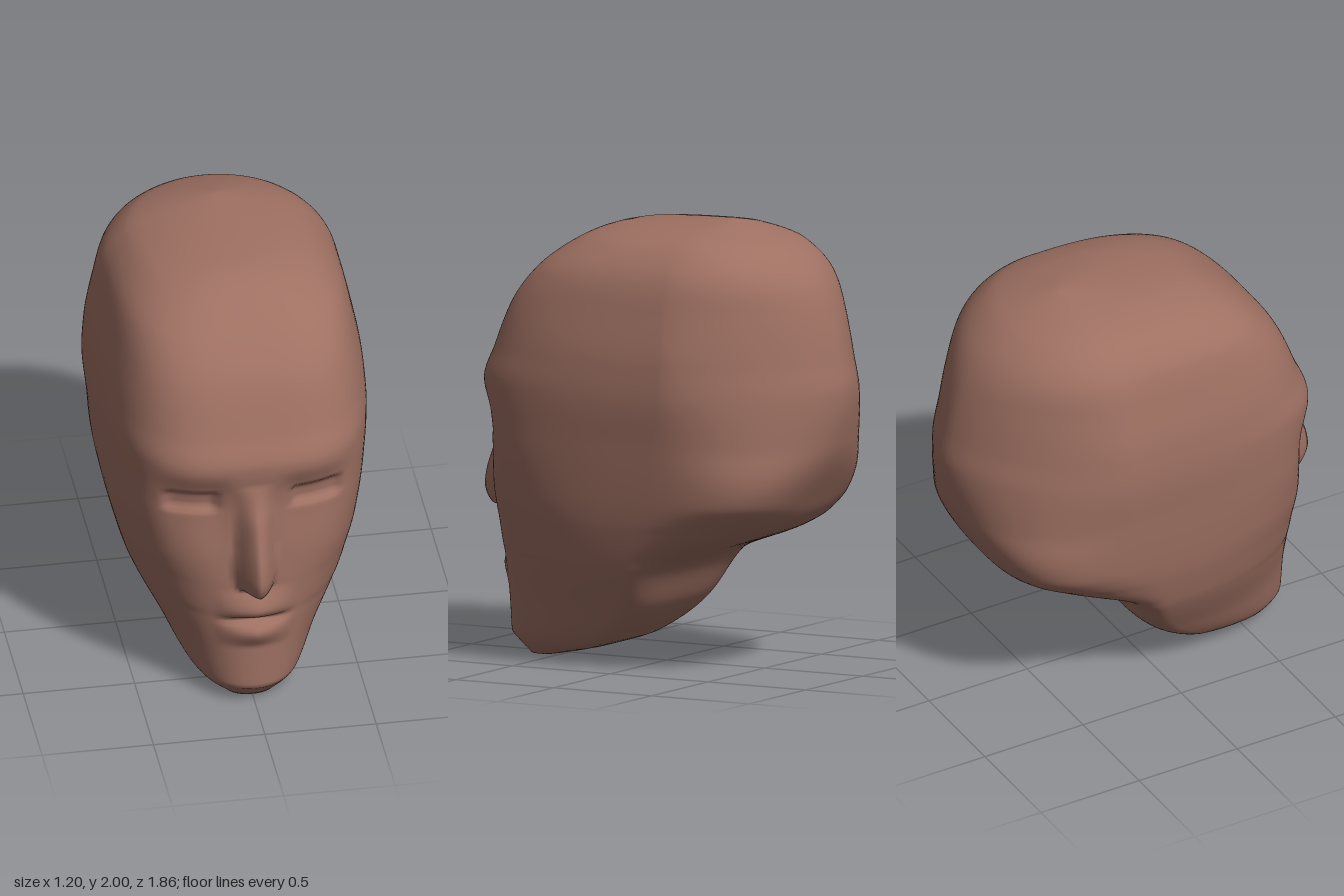
import * as THREE from 'three';

// Smooth, non-overshooting interpolation of rows [key, a, b, ...]
function sample(rows, y, c) {
  const n = rows.length;
  if (y <= rows[0][0]) return rows[0][c];
  if (y >= rows[n - 1][0]) return rows[n - 1][c];
  let k = 0;
  while (rows[k + 1][0] < y) k++;
  const slope = (i) => (rows[i + 1][c] - rows[i][c]) / (rows[i + 1][0] - rows[i][0]);
  const tangent = (i) => {
    if (i === 0) return slope(0);
    if (i === n - 1) return slope(n - 2);
    const p = slope(i - 1), q = slope(i);
    return p * q <= 0 ? 0 : (2 * p * q) / (p + q);
  };
  const h = rows[k + 1][0] - rows[k][0], t = (y - rows[k][0]) / h;
  const t2 = t * t, t3 = t2 * t;
  return (2 * t3 - 3 * t2 + 1) * rows[k][c] + (t3 - 2 * t2 + t) * h * tangent(k)
    + (3 * t2 - 2 * t3) * rows[k + 1][c] + (t3 - t2) * h * tangent(k + 1);
}

// Skull sections: height, front z, back z, half width, z of widest point,
// front squareness, back squareness
const SKULL = [
  [0.00, 0.67, 0.52, 0.11, 0.58, 2.2, 2.5],
  [0.05, 0.715, 0.29, 0.215, 0.42, 2.2, 3.2],
  [0.10, 0.76, 0.14, 0.27, 0.29, 2.2, 3.6],
  [0.26, 0.76, -0.07, 0.365, 0.11, 2.2, 3.6],
  [0.46, 0.76, -0.195, 0.472, 0.00, 2.3, 3.4],
  [0.50, 0.76, -0.27, 0.487, -0.02, 2.4, 2.8],
  [0.64, 0.76, -0.64, 0.526, -0.09, 2.7, 2.4],
  [0.69, 0.758, -0.715, 0.537, -0.13, 2.9, 2.6],
  [0.78, 0.755, -0.775, 0.552, -0.18, 3.2, 3.1],
  [1.03, 0.757, -0.89, 0.58, -0.25, 3.6, 2.1],
  [1.26, 0.787, -0.927, 0.60, -0.30, 3.4, 1.7],
  [1.40, 0.735, -0.905, 0.593, -0.30, 3.4, 1.65],
  [1.62, 0.64, -0.85, 0.553, -0.29, 3.5, 1.75],
  [1.76, 0.53, -0.785, 0.515, -0.28, 3.5, 1.9],
  [1.90, 0.35, -0.64, 0.405, -0.26, 2.9, 2],
  [1.965, 0.175, -0.48, 0.24, -0.25, 2.5, 2],
  [2.00, -0.30, -0.36, 0.03, -0.33, 2, 2],
];

// Nose: height, protrusion, half width
const NOSE = [
  [0.615, 0, 0.08], [0.65, 0.14, 0.085], [0.73, 0.175, 0.095],
  [0.97, 0.10, 0.08], [1.10, 0.035, 0.08], [1.17, 0, 0.09],
];

// Lips: height, protrusion
const LIPS = [
  [0.31, 0], [0.40, 0.045], [0.435, 0.02], [0.452, -0.03],
  [0.475, 0.02], [0.515, 0.05], [0.62, 0],
];

const step = THREE.MathUtils.smoothstep;
const band = (v, a, b, c, d) => step(v, a, b) * (1 - step(v, c, d));

// Forward displacement of the face at a point
function faceRelief(x, y) {
  const ax = Math.abs(x);
  const nose = sample(NOSE, y, 1) * Math.max(0, 1 - (ax / sample(NOSE, y, 2)) ** 1.5);
  const lips = sample(LIPS, y, 1) * Math.max(0, 1 - (ax / 0.18) ** 1.3);
  const socket = -0.025 * band(ax, 0.06, 0.19, 0.32, 0.5) * band(y, 0.75, 1.05, 1.12, 1.25);
  const eye = -0.03 * band(ax, 0.15, 0.19, 0.36, 0.42) * band(y, 1.01, 1.045, 1.1, 1.14);
  return nose + lips + socket + eye;
}

// Stacked horizontal rings, squarer in front, with a pointed crown behind
function headGeometry() {
  const ROWS = 130, FRONT = 40, BACK = 24;
  const half = FRONT + BACK, cols = half * 2;
  const pos = [], index = [];
  for (let j = 0; j <= ROWS; j++) {
    const y = (2 * j) / ROWS;
    const [front, back, w, zc, sqFront, sqBack] = [1, 2, 3, 4, 5, 6].map((c) => sample(SKULL, y, c));
    for (let i = 0; i < cols; i++) {
      const side = i <= half ? 1 : -1;
      const m = i <= half ? i : cols - i;
      const isFront = m <= FRONT;
      const a = (isFront ? m / FRONT : (half - m) / BACK) * Math.PI / 2;
      const xf = Math.sin(a);
      const n = isFront ? sqFront : sqBack;
      const zf = Math.max(0, 1 - xf ** n) ** (1 / n);
      const x = side * xf * w;
      let z = zc + zf * ((isFront ? front : back) - zc);
      if (isFront) z += faceRelief(x, y);
      pos.push(x, y, z);
    }
  }
  for (let j = 0; j < ROWS; j++) {
    for (let i = 0; i < cols; i++) {
      const k = (i + 1) % cols;
      const a = j * cols + i, b = j * cols + k, c = b + cols, d = a + cols;
      index.push(a, b, c, a, c, d);
    }
  }
  // Close the chin and the crown
  const bottom = pos.length / 3, top = bottom + 1, last = ROWS * cols;
  pos.push(0, 0, 0.59, 0, 2, -0.33);
  for (let i = 0; i < cols; i++) {
    const k = (i + 1) % cols;
    index.push(bottom, k, i, top, last + i, last + k);
  }
  const geo = new THREE.BufferGeometry();
  geo.setAttribute('position', new THREE.Float32BufferAttribute(pos, 3));
  geo.setIndex(index);
  geo.computeVertexNormals();
  return geo;
}

export function createModel() {
  const skin = new THREE.MeshStandardMaterial({ color: 0x9e7062 });
  skin.name = 'skin';
  const head = new THREE.Mesh(headGeometry(), skin);
  head.name = 'head';
  const group = new THREE.Group();
  group.name = 'headModel';
  group.add(head);
  return group;
}
